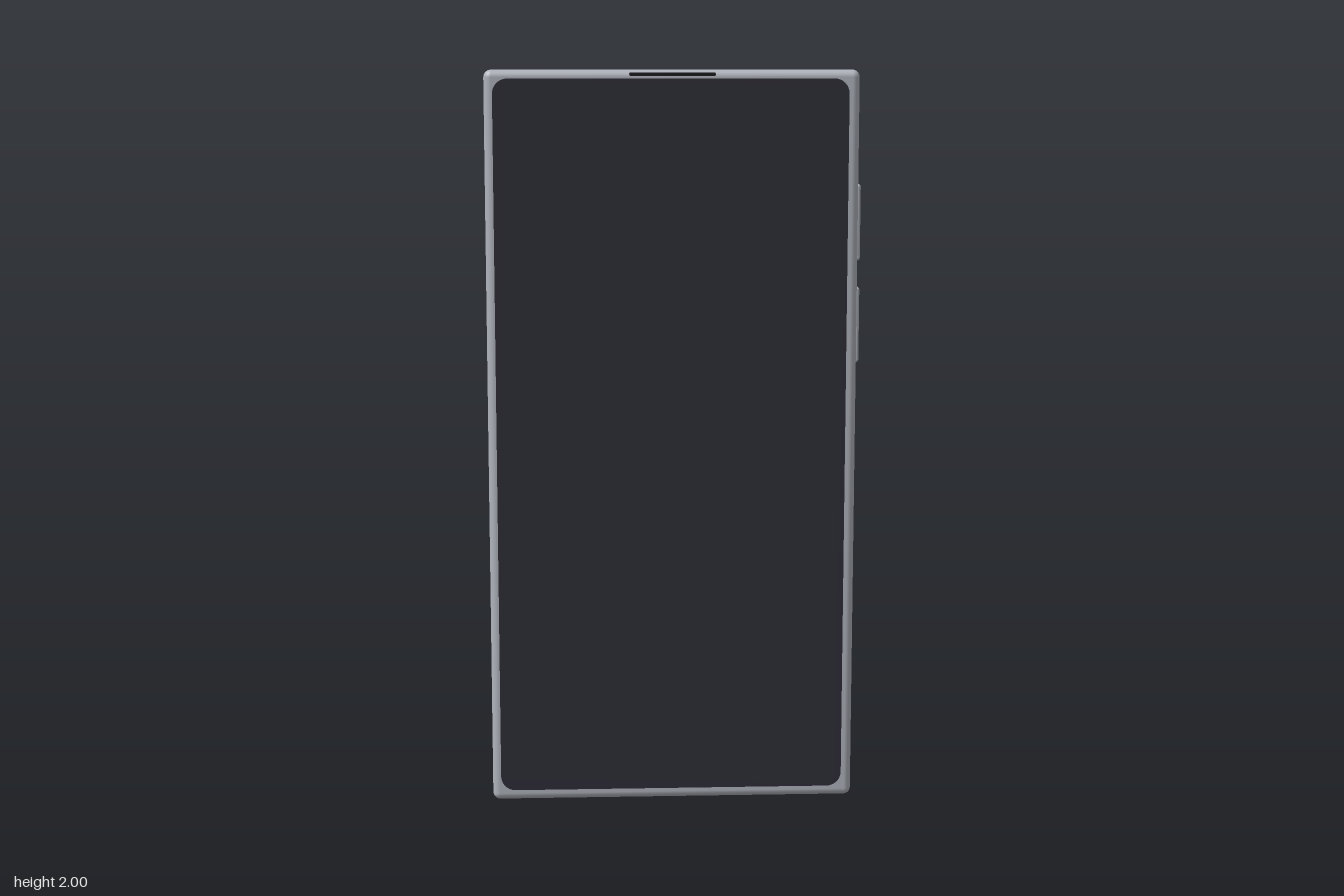
import * as THREE from 'three';
import { RoundedBoxGeometry } from 'three/addons/geometries/RoundedBoxGeometry.js';

const material = (name, color) => {
  const m = new THREE.MeshStandardMaterial({ color });
  m.name = name;
  return m;
};

// Rounded box given by its lower and upper corners
function roundedBox(name, min, max, radius, mat) {
  const size = max.map((v, i) => v - min[i]);
  const mesh = new THREE.Mesh(new RoundedBoxGeometry(...size, 4, radius), mat);
  mesh.position.set(...max.map((v, i) => (v + min[i]) / 2));
  mesh.name = name;
  return mesh;
}

// Thin plate with rounded corners, lying in the xy plane
function plate(name, x0, y0, x1, y1, r, z, depth, mat) {
  const s = new THREE.Shape();
  s.moveTo(x0 + r, y0);
  s.lineTo(x1 - r, y0);
  s.absarc(x1 - r, y0 + r, r, -Math.PI / 2, 0);
  s.absarc(x1 - r, y1 - r, r, 0, Math.PI / 2);
  s.absarc(x0 + r, y1 - r, r, Math.PI / 2, Math.PI);
  s.absarc(x0 + r, y0 + r, r, Math.PI, Math.PI * 1.5);
  const geometry = new THREE.ExtrudeGeometry(s, { depth, bevelEnabled: false, curveSegments: 8 });
  const mesh = new THREE.Mesh(geometry, mat);
  mesh.position.z = z;
  mesh.name = name;
  return mesh;
}

export function createModel() {
  const group = new THREE.Group();
  group.name = 'phone';
  const silver = material('silver casing', 0xb0b4bc);
  const dark = material('dark glass', 0x2e2d37);
  const black = material('black slot', 0x18181d);

  // Casing
  group.add(roundedBox('casing', [-0.503, 0, -0.046], [0.493, 2, 0.063], 0.02, silver));

  // Screen and earpiece slot on the front
  group.add(plate('screen', -0.48, 0.03, 0.464, 1.977, 0.04, 0.0575, 0.0075, dark));
  group.add(plate('earpiece', -0.119, 1.983, 0.109, 1.993, 0.004, 0.0585, 0.0075, black));

  // Camera block on the back
  group.add(roundedBox('cameraBlock', [-0.409, 1.433, -0.07], [-0.11, 1.82, -0.02], 0.02, dark));

  // Two buttons on the left edge
  [1.217, 1.493].forEach((y, i) => {
    group.add(roundedBox(i ? 'upperButton' : 'lowerButton',
      [0.475, y, 0.002], [0.501, y + 0.204, 0.042], 0.007, silver));
  });
  return group;
}
